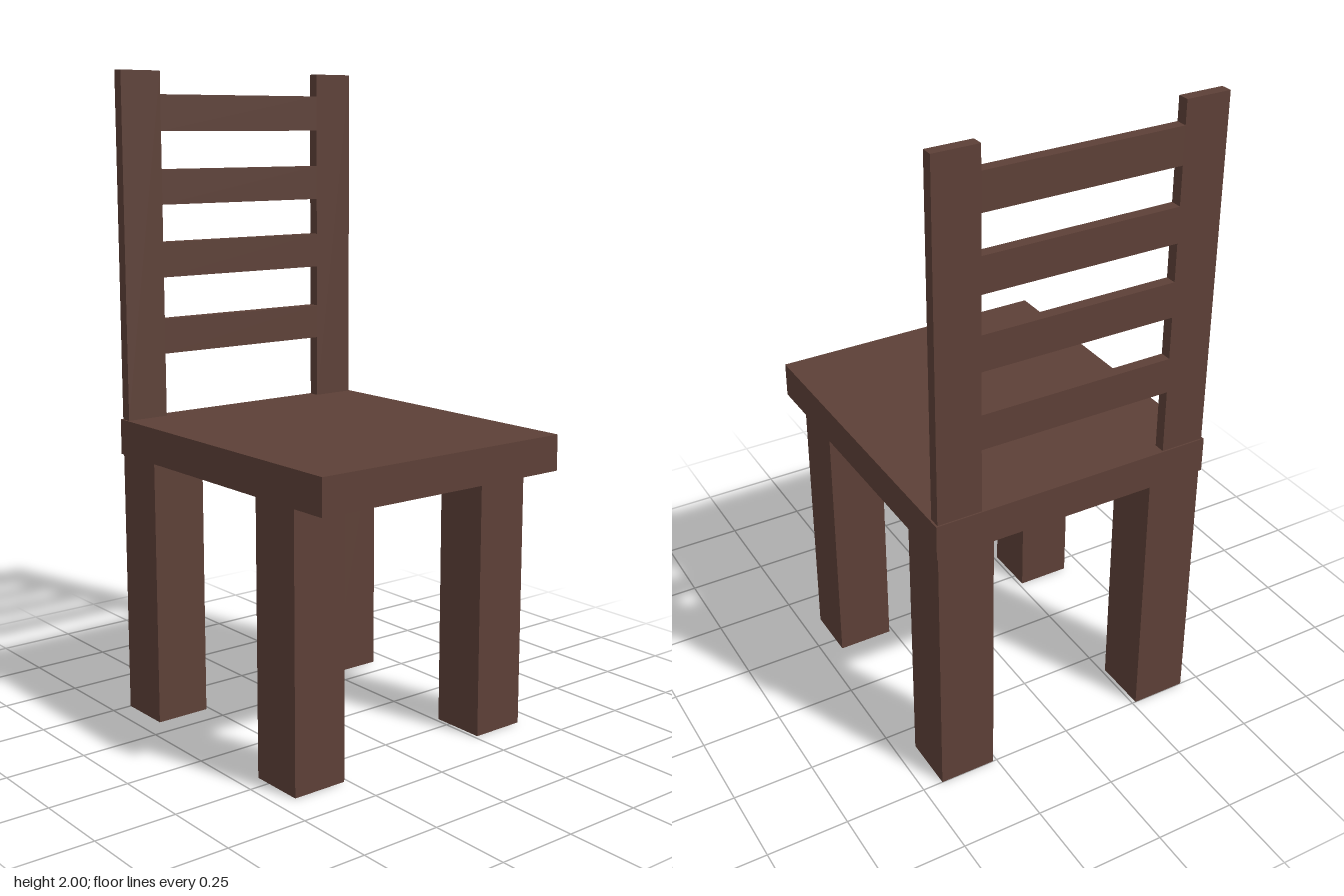
import * as THREE from 'three';

export function createModel() {
  const chair = new THREE.Group();
  chair.name = 'chair';
  const wood = new THREE.MeshStandardMaterial({ color: 0x5d4037 });

  // Box given by its lower and upper limits on each axis
  function addBox(name, [x0, x1], [y0, y1], [z0, z1]) {
    const mesh = new THREE.Mesh(new THREE.BoxGeometry(x1 - x0, y1 - y0, z1 - z0), wood);
    mesh.position.set((x0 + x1) / 2, (y0 + y1) / 2, (z0 + z1) / 2);
    mesh.name = name;
    chair.add(mesh);
  }

  const seatBottom = 0.83, seatTop = 0.94;
  const backDepth = [-0.5, -0.465];

  addBox('seat', [-0.443, 0.443], [seatBottom, seatTop], [-0.505, 0.505]);

  // Legs and back posts, one of each per side
  for (const [side, sign] of [['left', 1], ['right', -1]]) {
    const span = (inner, outer) => (sign > 0 ? [inner, outer] : [-outer, -inner]);
    addBox(`${side}FrontLeg`, span(0.262, 0.437), [0, seatBottom], [0.2, 0.375]);
    addBox(`${side}BackLeg`, span(0.262, 0.437), [0, seatBottom], [-0.5, -0.325]);
    addBox(`${side}BackPost`, span(0.3, 0.437), [seatTop, 2], backDepth);
  }

  // Horizontal slats between the posts
  [[1.137, 1.245], [1.375, 1.483], [1.598, 1.705], [1.82, 1.93]].forEach((heights, i) => {
    addBox(`backSlat${i + 1}`, [-0.3, 0.3], heights, backDepth);
  });

  return chair;
}
